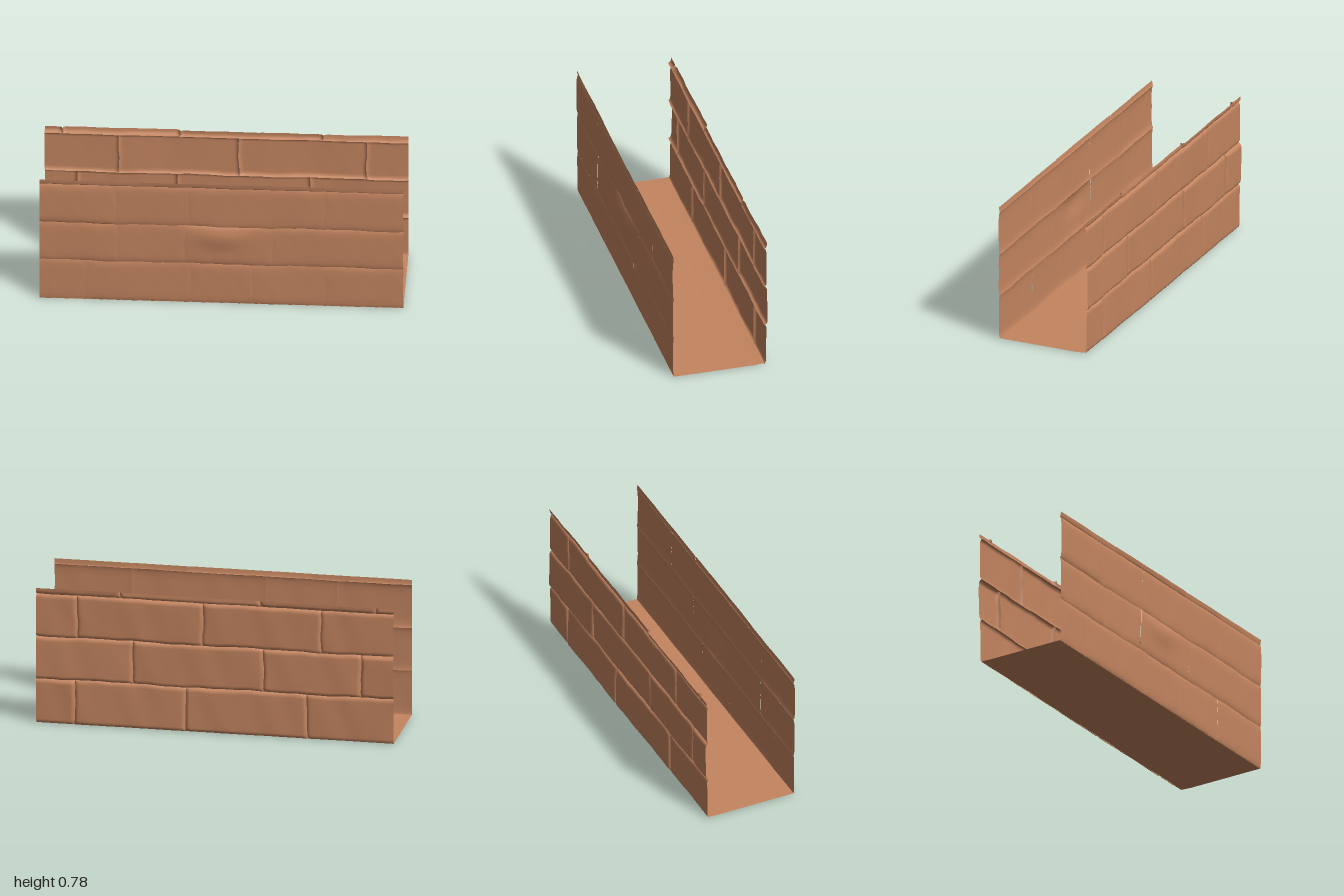
import * as THREE from 'three';

const clay = new THREE.MeshStandardMaterial({ color: 0xc48560, side: THREE.DoubleSide });
clay.name = 'clay';

const TOP = 0.78;
const clamp = THREE.MathUtils.clamp;

// smooth repeatable waviness, about -1..1
const wave = (x, y) =>
  0.5 * Math.sin(9.1 * x + 5.3 * y) + 0.3 * Math.sin(23.7 * x - 11.9 * y + 1.3) + 0.2 * Math.sin(51 * x + 37 * y + 0.7);

function seeded(seed) {
  let s = seed;
  return () => (s = (s * 16807) % 2147483647) / 2147483647;
}

// positions along a brick, packed close to both ends
function stations(a, b, ramp, count) {
  const r = Math.min(ramp, (b - a) * 0.4);
  const list = [0, 0.15, 0.4, 0.7, 1].map((t) => a + t * r);
  for (let i = 1; i < count; i++) list.push(a + r + ((b - a - 2 * r) * i) / count);
  return list.concat([1, 0.7, 0.4, 0.15, 0].map((t) => b - t * r));
}

// indexed sheet over a grid of stations, placed by a rule
function sheet(us, vs, place) {
  const pos = [], idx = [], n = us.length;
  for (const v of vs) for (const u of us) pos.push(...place(u, v));
  for (let j = 0; j < vs.length - 1; j++)
    for (let i = 0; i < n - 1; i++) {
      const a = j * n + i;
      idx.push(a, a + 1, a + n + 1, a, a + n + 1, a + n);
    }
  const g = new THREE.BufferGeometry();
  g.setAttribute('position', new THREE.Float32BufferAttribute(pos, 3));
  g.setIndex(idx);
  g.computeVertexNormals();
  return g;
}

// one wall of pillow-shaped bricks; side is +1 for front, -1 for back
function wall(name, side, rows, o) {
  const group = new THREE.Group();
  group.name = name;
  const rand = seeded(o.seed);
  for (const [y0, y1, joints] of rows) {
    const xs = [-1, ...joints, 1];
    for (let k = 0; k < xs.length - 1; k++) {
      const [x0, x1] = [xs[k], xs[k + 1]];
      const swell = 1 + (rand() - 0.5) * 0.5;
      const lean = (rand() - 0.5) * o.tilt, turn = (rand() - 0.5) * o.tilt;
      const place = (x, y) => {
        // open borders of the sheet are not recessed
        const dx = Math.min(x0 === -1 ? 9 : x - x0, x1 === 1 ? 9 : x1 - x) / o.rampX;
        const dy = Math.min(y - y0, y1 === TOP ? 9 : y1 - y) / o.rampY;
        const ease = (d) => Math.sqrt(1 - (1 - clamp(d, 0, 1)) ** 2);
        const e = (o.sideJoint + (1 - o.sideJoint) * ease(dx)) * ease(dy);
        const u = (2 * x - x0 - x1) / (x1 - x0), v = (2 * y - y0 - y1) / (y1 - y0);
        const height = o.depth * swell + lean * u + turn * v + o.rough * wave(x + 2 * side, y);
        const bump = o.bulge * Math.exp(-((x / 0.13) ** 2) - ((y - 0.43) / 0.06) ** 2);
        const z = o.base + o.rough * 0.6 * wave(1.7 * x, y + 3) + e * height + bump;
        // joints wander a little, outer borders stay straight
        const keepX = clamp((1 - Math.abs(x)) * 8, 0, 1);
        const keepY = clamp(Math.min(y, TOP - y) * 12, 0, 1);
        return [
          x + keepX * o.wander * wave(x * 0.3, y * 3),
          y + keepY * o.wander * wave(x * 0.9 + 1, y * 0.2),
          side * z,
        ];
      };
      const us = stations(x0, x1, o.rampX, Math.max(3, Math.ceil((x1 - x0) * 30)));
      const mesh = new THREE.Mesh(sheet(us, stations(y0, y1, o.rampY, 5), place), clay);
      mesh.name = 'brick';
      group.add(mesh);
    }
  }
  return group;
}

export function createModel() {
  const model = new THREE.Group();
  model.name = 'brickTrough';

  // back wall with deep joints
  model.add(wall('backWall', -1, [
    [0, 0.255, [-0.515, 0.164, 0.785]],
    [0.255, 0.5, [-0.815, -0.27, 0.46]],
    [0.5, 0.745, [-0.593, 0.068, 0.772]],
    [0.745, TOP, [-0.9, -0.25, 0.53]],
  ], { seed: 71, base: 0.255, depth: 0.015, rampX: 0.025, rampY: 0.025, sideJoint: 0, tilt: 0.006, rough: 0.003, wander: 0.005, bulge: 0 }));

  // front wall with worn, shallow joints
  model.add(wall('frontWall', 1, [
    [0, 0.255, [-0.75, -0.17, 0.17, 0.57]],
    [0.255, 0.5, [-0.57, -0.2, 0.28]],
    [0.5, 0.75, [-0.58, -0.18, 0.57]],
    [0.75, TOP, [-0.45, 0.25]],
  ], { seed: 29, base: 0.258, depth: 0.007, rampX: 0.06, rampY: 0.06, sideJoint: 0.75, tilt: 0.002, rough: 0.0015, wander: 0.005, bulge: 0.013 }));

  // floor, curling up slightly along the back edge
  const us = Array.from({ length: 61 }, (_, i) => -1 + i / 30);
  const vs = [0.26, 0.22, 0.1, -0.1, -0.2, -0.225, -0.245, -0.258];
  const floor = new THREE.Mesh(sheet(us, vs, (x, z) => {
    const curl = clamp((-z - 0.2) / 0.06, 0, 1);
    return [x, 0.002 + curl * 0.003 * (1 + wave(x, 0)), z];
  }), clay);
  floor.name = 'floor';
  model.add(floor);

  return model;
}
